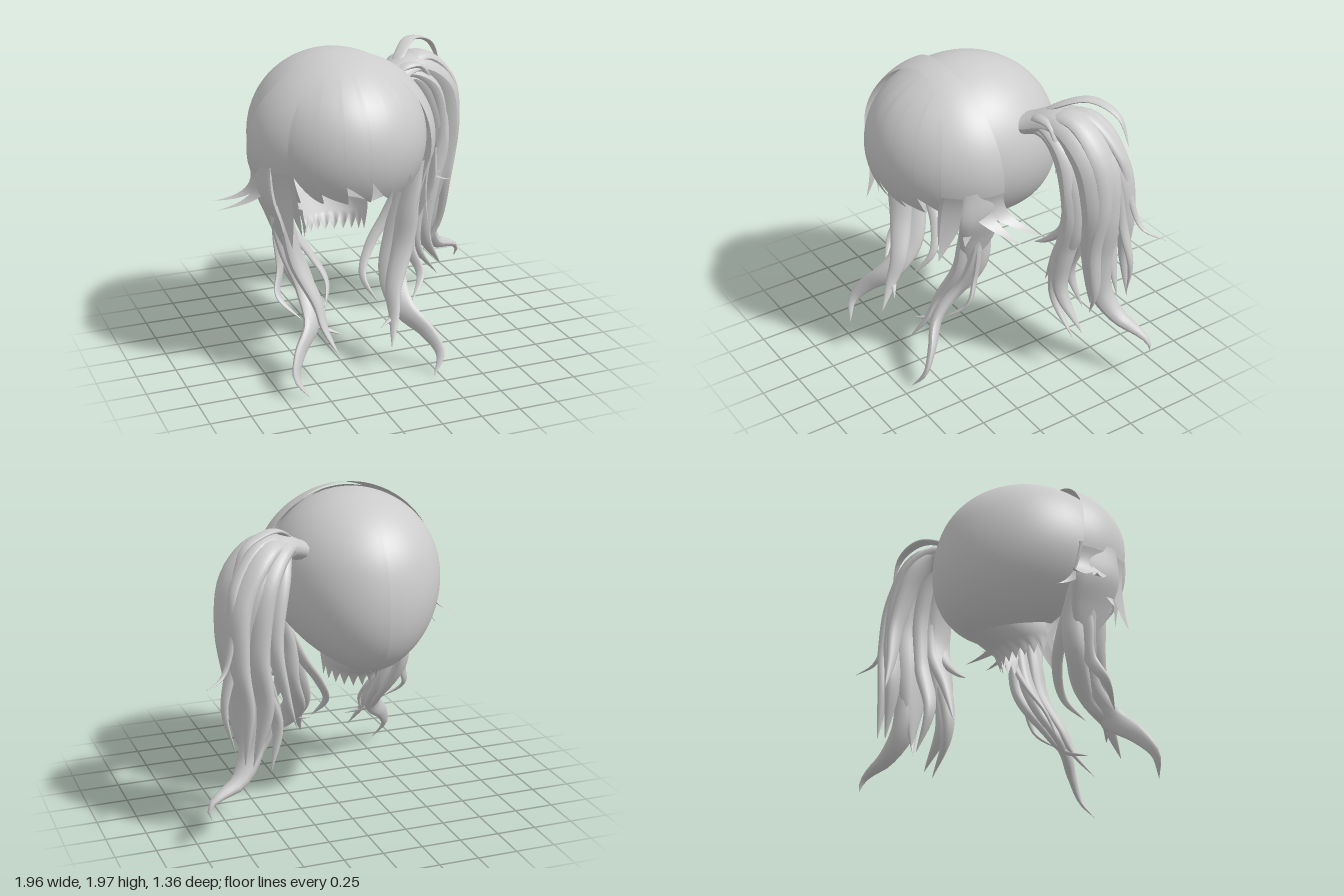
import * as THREE from 'three';

const mat = new THREE.MeshStandardMaterial({ color: 0xcccccc, side: THREE.DoubleSide });
const V = (p) => new THREE.Vector3(...p);
const lerp = THREE.MathUtils.lerp;
const smooth = THREE.MathUtils.smoothstep;
const C = [-0.2, 1.46, 0.035], R = [0.53, 0.52, 0.6];

function add(parent, name, geometry) {
  const mesh = new THREE.Mesh(geometry, mat);
  mesh.name = name;
  parent.add(mesh);
}

function buildGrid(point, nu, nv) {
  const pos = [], index = [];
  for (let j = 0; j <= nv; j++) for (let i = 0; i <= nu; i++) pos.push(...point(i / nu, j / nv));
  for (let j = 0; j < nv; j++) for (let i = 0; i < nu; i++) {
    const a = j * (nu + 1) + i, c = a + nu + 1;
    index.push(a, a + 1, c, a + 1, c + 1, c);
  }
  const g = new THREE.BufferGeometry();
  g.setAttribute('position', new THREE.Float32BufferAttribute(pos, 3));
  g.setIndex(index);
  g.computeVertexNormals();
  return g;
}

// point on the skull; angle runs from the front (+z) towards +x, theta from the crown
function skull(angle, theta, k = 1) {
  const s = Math.sin(theta) * k;
  return [C[0] + R[0] * s * Math.sin(angle), C[1] + R[1] * k * Math.cos(theta), C[2] + R[2] * s * Math.cos(angle)];
}
const thetaAt = (y, k = 1) => Math.acos(THREE.MathUtils.clamp((y - C[1]) / (R[1] * k), -1, 1));

// tapered strand with a lens-shaped section, wide along the hint direction
function lock(parent, name, pts, width, thick, hint, root = 0.6) {
  const curve = new THREE.CatmullRomCurve3(pts.map(V), false, 'centripetal');
  const h = V(hint), rows = [], n = 36;
  for (let j = 0; j <= n; j++) {
    const s = j / n, p = curve.getPointAt(s), t = curve.getTangentAt(s);
    const side = h.clone().addScaledVector(t, -h.dot(t)).normalize();
    const up = t.clone().cross(side);
    const f = lerp(root, 1, smooth(s, 0, 0.35)) * (1 - Math.pow(s, 3.2)) + 0.002;
    rows.push({ p, side, up, f });
  }
  add(parent, name, buildGrid((u, v) => {
    const { p, side, up, f } = rows[Math.round(v * n)];
    const a = u * Math.PI * 2;
    return p.clone().addScaledVector(side, Math.cos(a) * width * f)
      .addScaledVector(up, Math.sin(a) * thick * f).toArray();
  }, 14, n));
}

function buildCap(g) {
  // rounded shell, open at the face and under the neck, fuller at the lower back
  const shell = (a, theta) => {
    const p = skull(a, theta);
    const bulge = smooth(theta, 1.3, 2.7) * Math.max(0, -Math.cos(a));
    return [p[0], p[1] - 0.07 * bulge, p[2] - 0.13 * bulge];
  };
  const low = thetaAt(0.985);
  add(g, 'backCap', buildGrid((u, v) => {
    const a = (u * 2 - 1) * Math.PI;
    return shell(a, v * lerp(thetaAt(1.42), low, smooth(Math.abs(a), 1.05, 1.4)));
  }, 72, 36));
  // zigzag hairline drawn in towards the neck
  const teeth = 11;
  add(g, 'napeFringe', buildGrid((u, v) => {
    const a = (u * 2 - 1) * 1.6;
    const saw = Math.abs(((u * teeth) % 1) * 2 - 1);
    const top = shell(Math.PI - a, low);
    const y = 0.87 - 0.05 * Math.cos(a);
    return [lerp(top[0], C[0] + 0.2 * Math.sin(a), v * v), lerp(top[1], y, v) - Math.max(0, v - 0.75) * 4 * 0.07 * (1 - saw),
      lerp(top[2], 0.05 - 0.19 * Math.cos(a), v)];
  }, teeth * 4, 8));
}

function buildBangs(g) {
  // fringe shell with pointed ends swept towards the left
  const tips = 8;
  add(g, 'bangs', buildGrid((u, v) => {
    const a = lerp(-1.15, 1.12, u);
    const f = (u * tips) % 1;
    const notch = Math.pow(f < 0.75 ? 1 - f / 0.75 : (f - 0.75) / 0.25, 1.4);
    const y = 1.175 + notch * (0.13 + 0.05 * Math.sin(u * 17)) - 0.08 * smooth(Math.abs(a), 0.85, 1.12);
    const k = 1.02 + 0.018 * smooth(v, 0, 0.5);
    const sweep = 0.14 * smooth(v, 0.7, 1) * (1 - notch) * Math.cos(a);
    return skull(a + sweep, lerp(0.42 - 0.1 * Math.cos(a * 2), thetaAt(y, k), v), k);
  }, 160, 36));
}

function buildSide(g, m) {
  const at = (p) => [C[0] + m * p[0], p[1], p[2]];
  const strand = (name, pts, w, t, hint, root) =>
    lock(g, name, pts.map(at), w, t, [m * hint[0], hint[1], hint[2]], root);

  // sweeping sheet from the parting down over the ear
  const sheet = (u, v) => {
    const b = v * 2.2;
    const z = lerp(lerp(0.18, 0.09, v), lerp(0.31, 0.47, smooth(v, 0, 0.7)), u);
    const ring = Math.sqrt(1 - ((z - C[2]) / R[2]) ** 2);
    const k = lerp(1.045, 1.12, smooth(v, 0.1, 0.75)) + 0.02 * Math.sin(u * Math.PI);
    return [R[0] * k * lerp(ring, 1, 0.25) * Math.sin(b),
      C[1] + R[1] * lerp(k, 1.045, 1 - v) * lerp(ring, 1, 0.3) * Math.cos(b), z];
  };
  const hem = 0.8;
  add(g, 'sideSweep', buildGrid((u, v) => at(sheet(u, v * hem)), 24, 40));

  // pointed flicks that continue the sheet around the ear
  const flicks = [
    [0, 0.25, [0.54, 1.08, -0.05]], [0, 0.4, [0.76, 1.08, -0.06]], [0.25, 0.65, [0.78, 1.07, 0.09]],
    [0.3, 0.7, [0.52, 1.02, 0.35]], [0.55, 0.95, [0.44, 0.92, 0.49]], [0.75, 1, [0.36, 0.97, 0.44]],
  ];
  for (const [u0, u1, tip] of flicks) {
    add(g, 'earFlick', buildGrid((u, v) => {
      const s = lerp(u0, u1, u), a = sheet(s, hem), c = sheet(s, 0.97);
      return at(tip.map((t, i) => (1 - v) ** 2 * a[i] + 2 * v * (1 - v) * c[i] + v * v * t));
    }, 6, 14));
  }

  // broad lock tucked under the sheet, joining it to the long locks
  strand('earLock', [[0.53, 1.4, 0.24], [0.52, 1.2, 0.23], [0.46, 1.02, 0.22], [0.38, 0.75, 0.22]], 0.16, 0.04, [0, 0, 1], 0.8);
  // long locks hanging in front of the shoulder
  strand('longLock', [[0.5, 1.3, 0.2], [0.43, 1.05, 0.19], [0.36, 0.8, 0.2], [0.29, 0.58, 0.27], [0.3, 0.4, 0.42],
    [0.42, 0.26, 0.54], [0.47, 0.14, 0.62], [0.4, 0.02, 0.68]], 0.1, 0.05, [0.75, 0, 0.65]);
  strand('longLock', [[0.46, 1.3, 0.26], [0.4, 1.0, 0.27], [0.35, 0.75, 0.29], [0.25, 0.5, 0.38], [0.23, 0.36, 0.45],
    [0.17, 0.2, 0.56]], 0.08, 0.045, [0.6, 0, 0.8]);
  strand('longLock', [[0.46, 1.25, 0.14], [0.4, 1.0, 0.13], [0.38, 0.75, 0.15], [0.28, 0.5, 0.28], [0.27, 0.38, 0.4], [0.12, 0.31, 0.49]],
    0.07, 0.045, [0.6, 0, 0.8]);
  strand('thinLock', [[0.42, 1.15, 0.12], [0.32, 0.9, 0.1], [0.2, 0.72, 0.12], [0.12, 0.55, 0.2], [0.18, 0.4, 0.32]],
    0.04, 0.02, [0.7, 0, 0.7]);
  strand('thinLock', [[0.46, 1.15, 0.2], [0.44, 0.9, 0.2], [0.43, 0.7, 0.22], [0.47, 0.55, 0.3], [0.36, 0.42, 0.42]],
    0.045, 0.02, [0.7, 0, 0.7]);
}

function buildPonytail(g) {
  const root = [0.22, 1.68, -0.15];
  const across = [0.45, 0, 0.9];
  const tail = (pts, w, t, hint = across, name = 'tailLock') => lock(g, name, [root, ...pts], w, t, hint, 0.5);

  // core volume
  tail([[0.42, 1.74, -0.28], [0.6, 1.6, -0.37], [0.67, 1.3, -0.4], [0.63, 0.95, -0.41], [0.58, 0.45, -0.42]],
    0.21, 0.125, across, 'tailCore');
  // main lock with the curled end
  tail([[0.45, 1.75, -0.28], [0.65, 1.56, -0.39], [0.69, 1.2, -0.42], [0.64, 0.85, -0.42], [0.64, 0.56, -0.46],
    [0.74, 0.4, -0.53], [0.87, 0.35, -0.58], [0.95, 0.3, -0.61], [0.94, 0.22, -0.63]], 0.14, 0.11);
  // front and inner locks
  tail([[0.4, 1.68, -0.2], [0.54, 1.5, -0.25], [0.6, 1.2, -0.26], [0.54, 0.9, -0.24], [0.52, 0.6, -0.23], [0.68, 0.33, -0.29]], 0.12, 0.08);
  tail([[0.37, 1.72, -0.18], [0.53, 1.62, -0.21], [0.6, 1.35, -0.22], [0.56, 1.1, -0.22], [0.42, 0.94, -0.19], [0.3, 0.86, -0.17]], 0.09, 0.055);
  tail([[0.42, 1.66, -0.25], [0.56, 1.4, -0.29], [0.56, 1.1, -0.29], [0.45, 0.85, -0.25], [0.35, 0.58, -0.23]], 0.09, 0.06);
  tail([[0.42, 1.7, -0.23], [0.6, 1.45, -0.26], [0.62, 1.1, -0.26], [0.47, 0.75, -0.23], [0.47, 0.52, -0.22], [0.64, 0.28, -0.25]], 0.09, 0.06);
  tail([[0.42, 1.7, -0.3], [0.56, 1.4, -0.36], [0.56, 1.0, -0.36], [0.44, 0.65, -0.36], [0.5, 0.38, -0.42]], 0.1, 0.06);
  // rear locks
  tail([[0.4, 1.75, -0.35], [0.55, 1.6, -0.47], [0.62, 1.2, -0.53], [0.58, 0.85, -0.56], [0.66, 0.5, -0.57]], 0.12, 0.07);
  tail([[0.38, 1.74, -0.33], [0.46, 1.58, -0.48], [0.52, 1.25, -0.57], [0.47, 0.95, -0.62], [0.42, 0.75, -0.67]], 0.08, 0.05);
  tail([[0.5, 1.76, -0.4], [0.7, 1.5, -0.5], [0.73, 1.15, -0.55], [0.69, 0.85, -0.58], [0.72, 0.52, -0.6]], 0.1, 0.06);
  // outer locks
  tail([[0.5, 1.79, -0.3], [0.69, 1.6, -0.37], [0.74, 1.3, -0.39], [0.7, 0.95, -0.36], [0.68, 0.6, -0.38], [0.6, 0.4, -0.4]], 0.13, 0.06);
  tail([[0.5, 1.77, -0.34], [0.72, 1.5, -0.46], [0.77, 1.1, -0.5], [0.82, 0.85, -0.53], [0.76, 0.58, -0.56]], 0.06, 0.035);
  // loose flicks
  tail([[0.52, 1.8, -0.36], [0.73, 1.58, -0.48], [0.77, 1.3, -0.54], [0.84, 1.1, -0.59], [0.98, 1.05, -0.68]], 0.045, 0.025, across, 'tailFlick');
  tail([[0.36, 1.82, -0.27], [0.5, 1.88, -0.42], [0.67, 1.82, -0.5], [0.76, 1.64, -0.52]], 0.045, 0.015, [0.5, 0, 0.85], 'loopStrand');
  tail([[0.33, 1.76, -0.16], [0.44, 1.76, -0.18], [0.52, 1.64, -0.18], [0.5, 1.45, -0.18]], 0.05, 0.025, across, 'loopStrand');
}

export function createModel() {
  const model = new THREE.Group();
  model.name = 'hair';
  const part = (name, build, ...args) => {
    const g = new THREE.Group();
    g.name = name;
    build(g, ...args);
    model.add(g);
  };
  part('cap', buildCap);
  part('fringe', buildBangs);
  part('leftSide', buildSide, 1);
  part('rightSide', buildSide, -1);
  part('ponytail', buildPonytail);
  return model;
}
